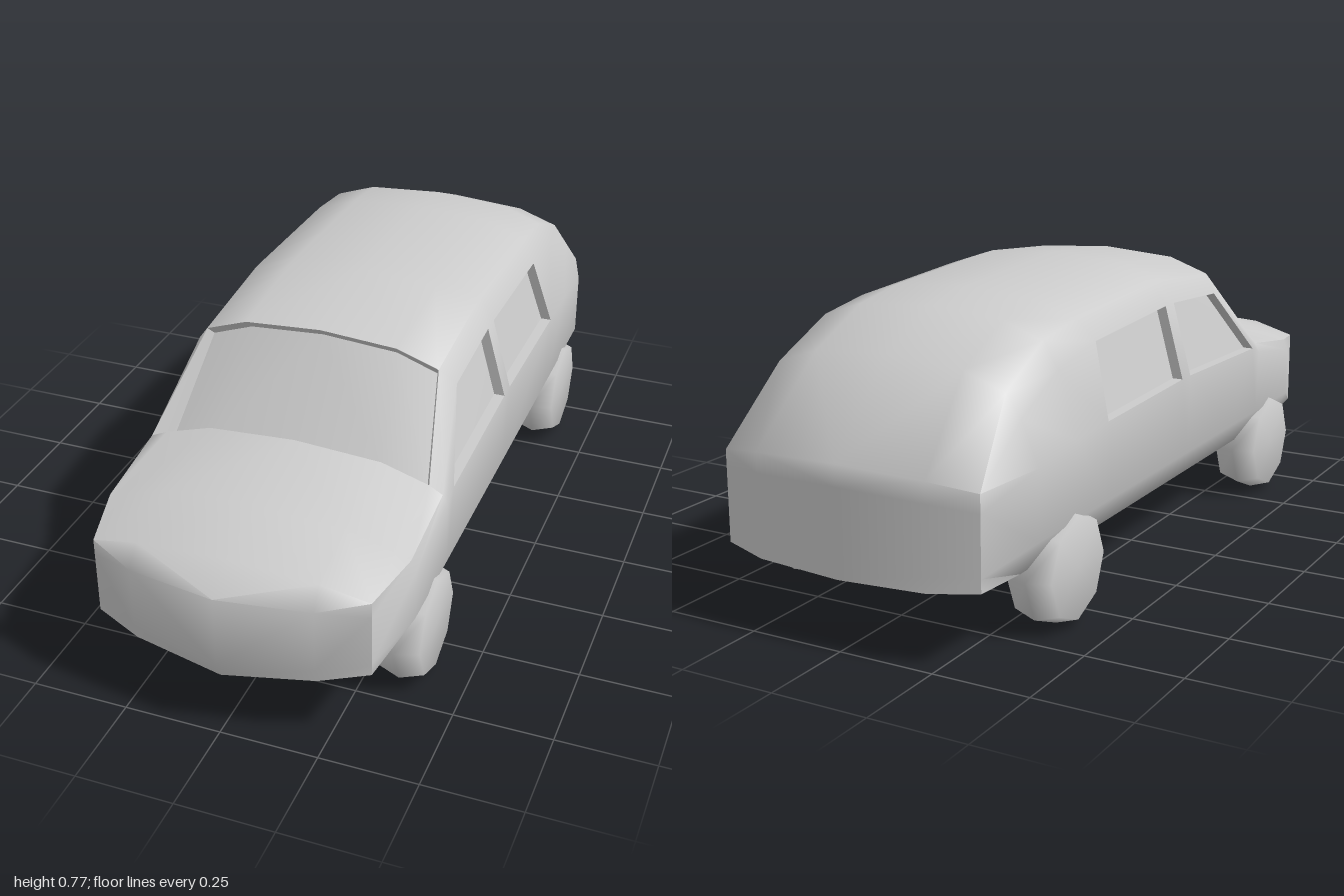
import * as THREE from 'three';
import { toCreasedNormals } from 'three/addons/utils/BufferGeometryUtils.js';

const material = new THREE.MeshStandardMaterial({ color: 0xcccccc });

// Collects quads and their mirror images across x = 0
function mirroredSurface() {
  const pos = [];
  const tri = (...p) => {
    const [a, b, c] = p.map((q) => new THREE.Vector3(...q));
    if (b.clone().sub(a).cross(c.clone().sub(a)).length() < 1e-7) return;
    p.forEach((q) => pos.push(...q));
    [p[0], p[2], p[1]].forEach(([x, y, z]) => pos.push(-x, y, z));
  };
  return {
    quad(a, b, c, d) { tri(a, b, c); tri(a, c, d); },
    mesh(name, crease) {
      const g = new THREE.BufferGeometry();
      g.setAttribute('position', new THREE.Float32BufferAttribute(pos, 3));
      const m = new THREE.Mesh(toCreasedNormals(g, crease), material);
      m.name = name;
      return m;
    },
  };
}

// Half cross-section, floor centre to roof centre: floor and sill stay constant,
// belt and window top follow the side, the crowned roof follows its centre height
function section([z, roof, edge, belt, beltZ, top, topZ]) {
  return [
    [0, .13, z], [.23, .152, z], [.35, .18, z], [.4, .265, z],
    [.4, belt, beltZ], [edge + .038, top, topZ],
    [edge, roof - .052, z], [edge * .65, roof - .014, z], [0, roof, z],
  ];
}

// Stations front to back: z, roof, edge, belt, beltZ, top, topZ
const STATIONS = [
  [.75, .492, .35, .4, .75, .43, .75],
  [.51, .53, .35, .44, .52, .465, .52],
  [.33, .745, .31, .46, .47, .645, .3],
  [.03, .775, .31, .475, .035, .665, .035],
  [-.015, .775, .31, .475, -.015, .665, -.015],
  [-.44, .758, .31, .465, -.44, .65, -.41],
  [-.6, .737, .31, .46, -.6, .62, -.6],
  [-.78, .655, .315, .44, -.78, .545, -.78],
];

// End face as three upright columns, from the centre out to the corner;
// its lower and upper rims sit back from the bulge towards the centre
function endColumns(zs, lows, highs, lowBack, highBack) {
  return [0, .23, .35].map((x, i) => [0, .15, .8, 1].map((t, j) => {
    const back = (j === 0 ? lowBack : j === 3 ? highBack : 0) * (1 - i / 2);
    return [x, lows[i] + (highs[i] - lows[i]) * t, zs[i] - back];
  }));
}

// Rim of an end face, in the same order as a cross-section
const endSection = ([mid, half, corner]) => [
  mid[0], half[0], ...corner, corner[3], half[3], mid[3],
];

export function createModel() {
  const car = new THREE.Group();
  car.name = 'car';
  const nose = endColumns([1, .96, .908], [.16, .185, .205], [.452, .44, .41], .02, .08);
  const tail = endColumns([-1, -.985, -.95], [.175, .18, .19], [.45, .44, .42], 0, 0);
  const P = [endSection(nose), ...STATIONS.map(section), endSection(tail)];
  const body = mirroredSurface();
  const sideWindows = mirroredSurface();
  const windshield = mirroredSurface();

  // Body skin, leaving out the window openings
  const isSideWindow = (s, r) => r === 4 && (s === 3 || s === 5);
  const isWindshield = (s, r) => s === 2 && r >= 6;
  const cell = (s, r) => [P[s][r], P[s + 1][r], P[s + 1][r + 1], P[s][r + 1]];
  for (let s = 0; s < 9; s++) {
    for (let r = 0; r < 8; r++) {
      if (!isSideWindow(s, r) && !isWindshield(s, r)) body.quad(...cell(s, r));
    }
  }

  // Bulging nose and flat tail
  for (let i = 0; i < 2; i++) {
    for (let j = 0; j < 3; j++) {
      body.quad(nose[i][j], nose[i + 1][j], nose[i + 1][j + 1], nose[i][j + 1]);
      body.quad(tail[i][j], tail[i][j + 1], tail[i + 1][j + 1], tail[i + 1][j]);
    }
  }

  // Walls of a recess: from the opening's edge to the pane
  const reveal = (loop, sink) => {
    for (let i = 0; i < loop.length - 1; i++) {
      const [a, b] = [loop[i], loop[i + 1]];
      body.quad(a, b, sink(b), sink(a));
    }
  };

  // Side windows, set inwards
  const sinkSide = ([x, y, z]) => [x - .028, y, z];
  for (const s of [3, 5]) {
    const c = cell(s, 4);
    sideWindows.quad(...c.map(sinkSide));
    reveal([...c, c[0]], sinkSide);
  }

  // Windshield, set back behind hood, pillars and roof lip
  const sinkFront = ([x, y, z]) => [x * .97, y - .022, z - .02];
  for (const r of [6, 7]) windshield.quad(...cell(2, r).map(sinkFront));
  reveal([P[2][8], P[2][7], P[2][6], P[3][6], P[3][7], P[3][8]], sinkFront);

  car.add(body.mesh('body', .84), sideWindows.mesh('sideWindows', .3), windshield.mesh('windshield', .5));

  // Eight-sided wheels with a ridged tread
  const profile = [[0, -.06], [.13, -.06], [.15, 0], [.13, .06], [0, .06]];
  const wheelGeometry = new THREE.LatheGeometry(profile.map(([r, y]) => new THREE.Vector2(r, y)), 8);
  wheelGeometry.rotateZ(-Math.PI / 2);
  for (const [end, z] of [['front', .61], ['rear', -.61]]) {
    for (const [side, x] of [['Left', .35], ['Right', -.35]]) {
      const wheel = new THREE.Mesh(wheelGeometry, material);
      wheel.name = `${end}${side}Wheel`;
      wheel.position.set(x, .15, z);
      car.add(wheel);
    }
  }
  return car;
}
